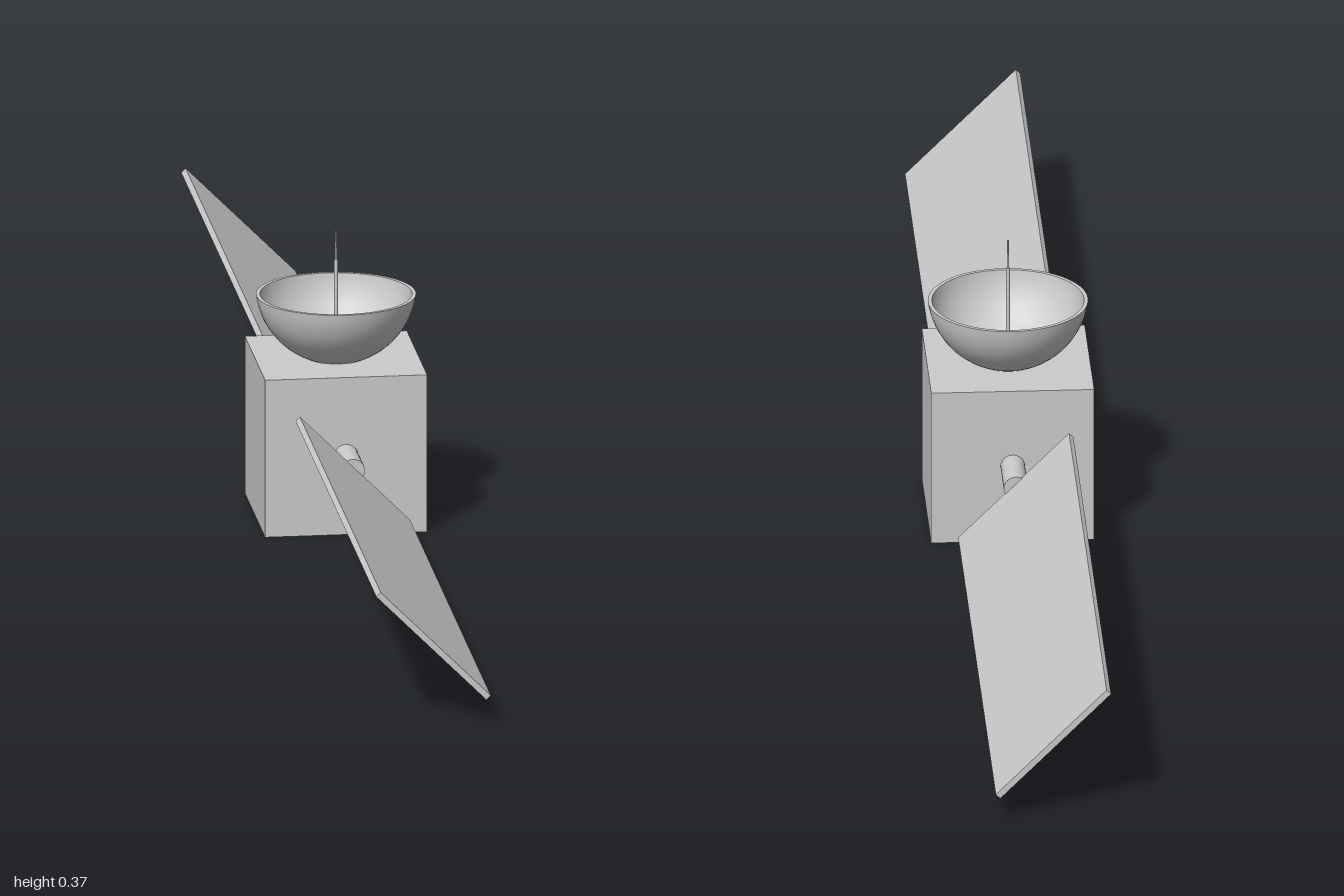
import * as THREE from 'three';

const grey = new THREE.MeshStandardMaterial({ color: 0xcccccc });

function part(parent, name, geometry, x = 0, y = 0, z = 0) {
  const mesh = new THREE.Mesh(geometry, grey);
  mesh.name = name;
  mesh.position.set(x, y, z);
  parent.add(mesh);
  return mesh;
}

// Points of a spherical bowl from its lowest point up to the rim height
function bowlArc(radius, centreY, rimY, steps = 20) {
  const end = Math.acos((centreY - rimY) / radius);
  return Array.from({ length: steps + 1 }, (_, i) => {
    const a = (end * i) / steps;
    return new THREE.Vector2(radius * Math.sin(a), centreY - radius * Math.cos(a));
  });
}

export function createModel() {
  const model = new THREE.Group();
  model.name = 'satellite';
  const size = 0.208, midY = size / 2;

  part(model, 'body', new THREE.BoxGeometry(size, size, size), 0, midY, 0);

  // Solar wings fore and aft, both tilted by 45 degrees
  for (const side of [1, -1]) {
    const wing = new THREE.Group();
    wing.name = side > 0 ? 'frontWing' : 'backWing';
    wing.position.y = midY;
    model.add(wing);
    const arm = part(wing, 'wingArm', new THREE.CylinderGeometry(0.0155, 0.0155, 0.08, 32), 0, 0, side * 0.135);
    arm.rotation.x = Math.PI / 2;
    const panel = part(wing, 'solarPanel', new THREE.BoxGeometry(0.2, 0.008, 0.828), 0, 0, side * 0.586);
    panel.rotation.z = -Math.PI / 4;
  }

  // Dish: outer shell, inner shell and flat rim, kept apart for sharp rim edges
  const dish = new THREE.Group();
  dish.name = 'dish';
  model.add(dish);
  const rimY = 0.29, centreY = 0.303;
  const outer = bowlArc(0.103, centreY, rimY);
  const inner = bowlArc(0.098, centreY, rimY);
  part(dish, 'dishOuter', new THREE.LatheGeometry(outer, 48));
  part(dish, 'dishInner', new THREE.LatheGeometry([...inner].reverse(), 48));
  part(dish, 'dishRim', new THREE.LatheGeometry([outer.at(-1), inner.at(-1)], 48));

  // Antenna: a thicker lower rod and a fine tip
  part(model, 'antennaRod', new THREE.CylinderGeometry(0.0024, 0.0028, 0.135, 16), 0, 0.2675, 0);
  part(model, 'antennaTip', new THREE.CylinderGeometry(0.0012, 0.0014, 0.04, 12), 0, 0.353, 0);

  return model;
}
